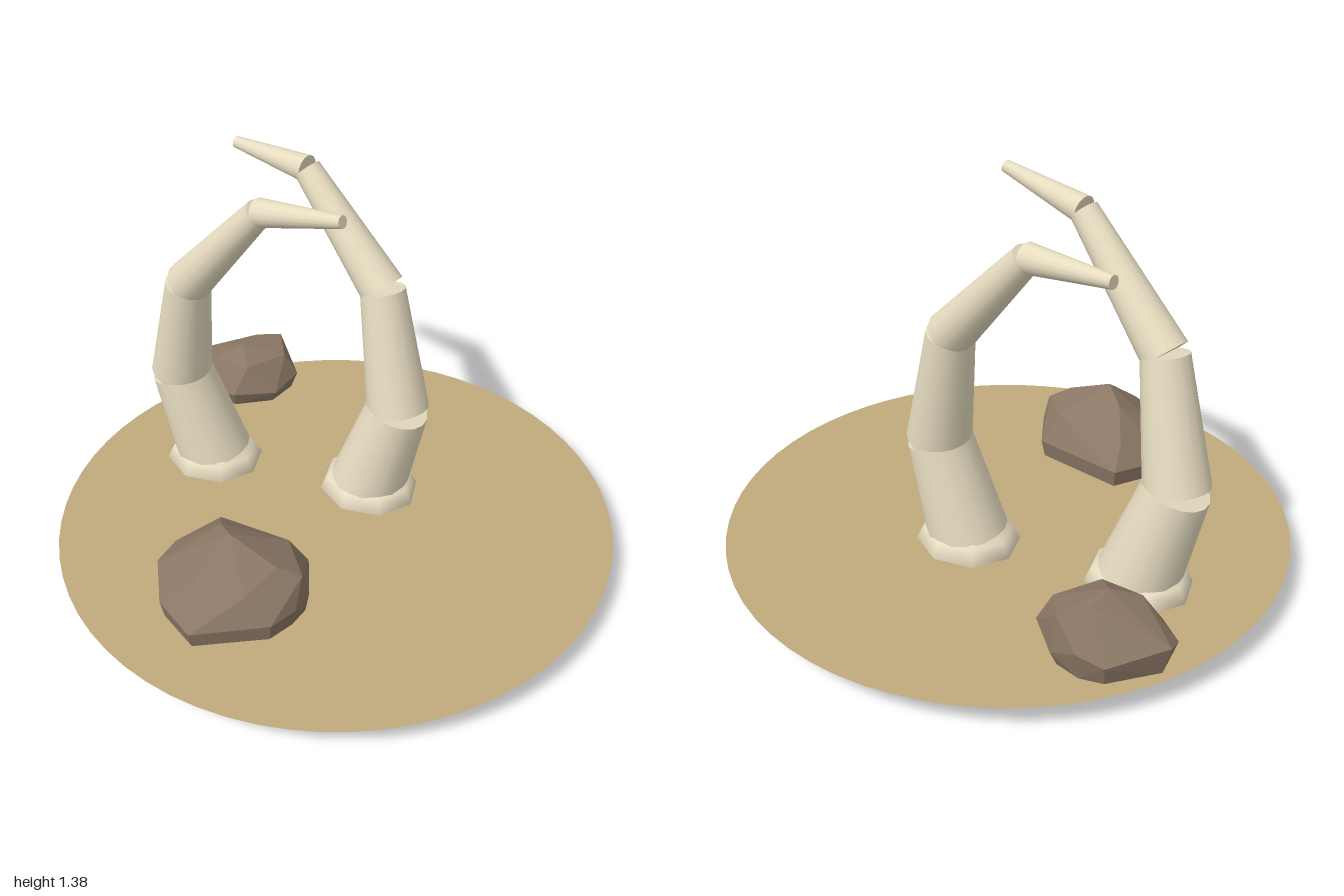
import * as THREE from 'three';
import { ConvexGeometry } from 'three/addons/geometries/ConvexGeometry.js';

const V = (p) => new THREE.Vector3(...p);

export function createModel() {
  const model = new THREE.Group();
  const ivory = new THREE.MeshStandardMaterial({ name: 'ivory', color: 0xe6dcc0 });
  const sand = new THREE.MeshStandardMaterial({ name: 'sand', color: 0xc0aa7c, side: THREE.DoubleSide });
  const stone = new THREE.MeshStandardMaterial({ name: 'stone', color: 0x8b7765, flatShading: true });

  const add = (parent, name, geometry, material) => {
    const mesh = new THREE.Mesh(geometry, material);
    mesh.name = name;
    parent.add(mesh);
    return mesh;
  };

  // Thin sandy ground disc
  const ground = add(model, 'ground', new THREE.CircleGeometry(1, 64), sand);
  ground.rotation.x = -Math.PI / 2;
  ground.position.y = 0.1;

  // Tapered tusk segments following a bent path, on a squashed root mound
  const radii = [0.142, 0.112, 0.08, 0.048, 0.021];
  const addTusk = (name, path) => {
    const tusk = new THREE.Group();
    tusk.name = name;
    const [x, , z] = path[0];
    const root = add(tusk, 'root', new THREE.SphereGeometry(1, 8, 6), ivory);
    root.scale.set(0.19, 0.1, 0.172);
    root.position.set(x, 0.1, z);
    for (let i = 0; i < path.length - 1; i++) {
      const a = V(path[i]), b = V(path[i + 1]);
      const dir = b.clone().sub(a);
      const segment = add(tusk, 'segment' + (i + 1),
        new THREE.CylinderGeometry(radii[i + 1], radii[i], dir.length(), 16), ivory);
      segment.position.copy(a).add(b).multiplyScalar(0.5);
      segment.quaternion.setFromUnitVectors(new THREE.Vector3(0, 1, 0), dir.normalize());
    }
    model.add(tusk);
  };
  addTusk('rightTusk', [[-0.585, 0.13, 0], [-0.685, 0.485, 0.04], [-0.58, 0.91, 0.08],
    [-0.235, 1.29, 0.092], [0.095, 1.36, 0.095]]);
  addTusk('leftTusk', [[0.005, 0.13, -0.2], [0.105, 0.485, -0.23], [0, 0.92, -0.27],
    [-0.335, 1.27, -0.288], [-0.65, 1.285, -0.29]]);

  // Faceted rocks: flat base, wide rim, uneven crown
  const addRock = (name, rim, crown, baseY, shrink) => {
    const centre = rim.reduce((s, p) => s.add(V(p)), new THREE.Vector3()).divideScalar(rim.length);
    const base = rim.map(([x, , z]) => [
      centre.x + (x - centre.x) * shrink, baseY, centre.z + (z - centre.z) * shrink]);
    add(model, name, new ConvexGeometry([...base, ...rim, ...crown].map(V)), stone);
  };
  addRock('frontRock',
    [[-0.21, 0.2, 0.35], [0.14, 0.2, 0.345], [0.245, 0.21, 0.48], [0.25, 0.2, 0.56], [0.23, 0.2, 0.66],
      [0.04, 0.195, 0.84], [-0.13, 0.2, 0.79], [-0.27, 0.2, 0.65], [-0.288, 0.2, 0.54]],
    [[-0.18, 0.28, 0.42], [0.1, 0.31, 0.4], [0.235, 0.3, 0.5], [0.17, 0.34, 0.55], [0.14, 0.29, 0.68],
      [-0.03, 0.31, 0.71], [-0.17, 0.28, 0.63], [-0.09, 0.37, 0.52], [0, 0.408, 0.575]],
    0.135, 0.95);
  addRock('backRock',
    [[-0.97, 0.25, -0.36], [-0.86, 0.22, -0.535], [-0.78, 0.25, -0.57], [-0.68, 0.2, -0.565],
      [-0.56, 0.22, -0.49], [-0.56, 0.2, -0.35], [-0.675, 0.21, -0.225], [-0.835, 0.2, -0.215],
      [-0.945, 0.22, -0.29]],
    [[-0.86, 0.3, -0.4], [-0.8, 0.31, -0.28], [-0.69, 0.33, -0.55], [-0.6, 0.31, -0.46],
      [-0.66, 0.31, -0.3], [-0.75, 0.345, -0.47], [-0.74, 0.355, -0.37]],
    0.15, 0.88);

  return model;
}
